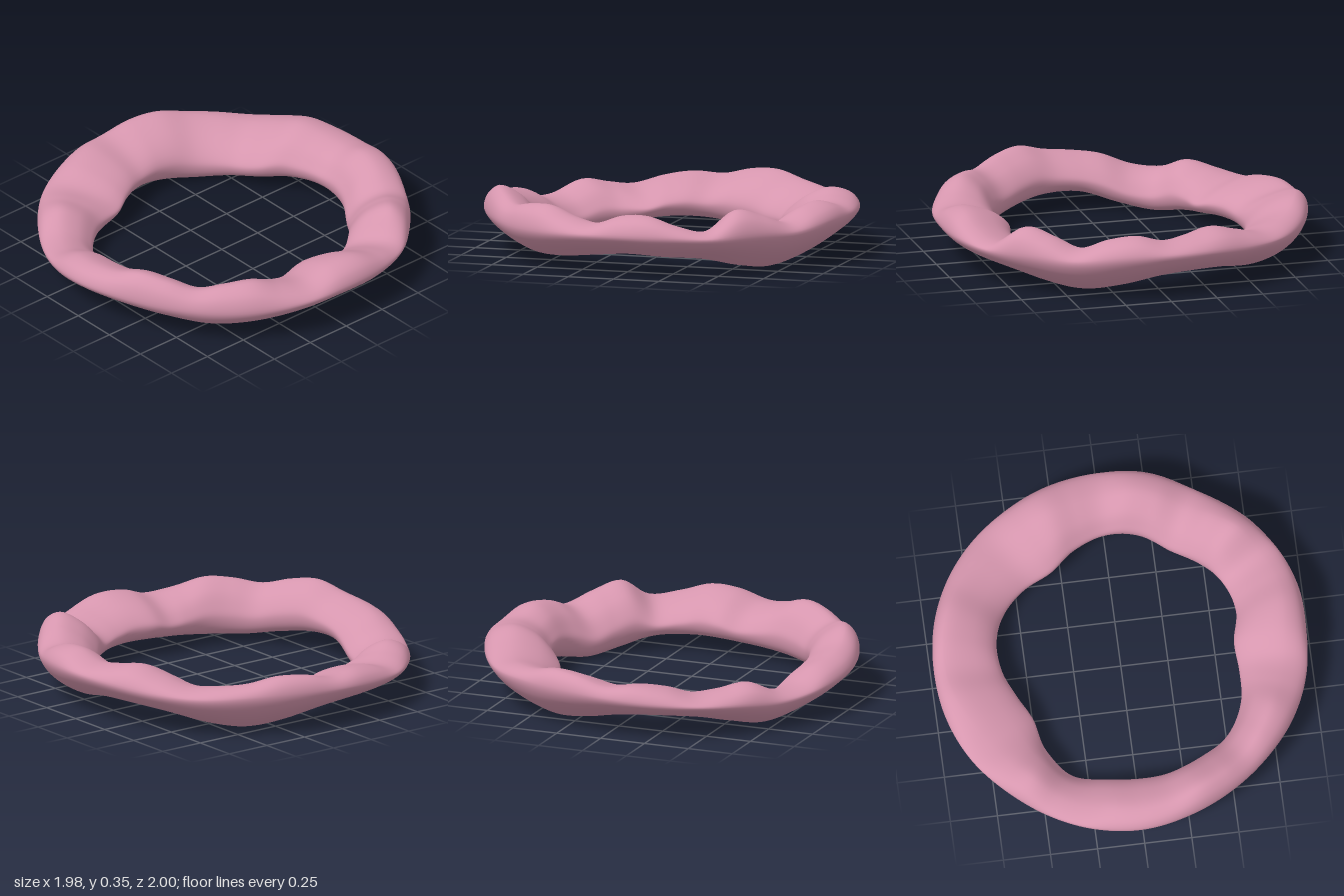
import * as THREE from 'three';

// Ring outline every 15 degrees, turning from +x towards +z
const OUTER = [0.985, 0.985, 0.98, 0.968, 0.972, 0.985, 0.997, 0.985, 0.97, 0.972, 0.985, 0.99,
  0.99, 0.995, 0.998, 1, 0.997, 0.997, 1, 1.005, 0.992, 0.995, 1.01, 1.005];
const INNER = [0.6, 0.63, 0.685, 0.715, 0.713, 0.716, 0.7, 0.682, 0.69, 0.645, 0.575, 0.59,
  0.63, 0.66, 0.665, 0.64, 0.6, 0.64, 0.682, 0.693, 0.668, 0.672, 0.679, 0.655];
// Heights of the outer rim and the belly every 15 degrees
const RIM = [0.22, 0.215, 0.21, 0.205, 0.215, 0.22, 0.205, 0.175, 0.155, 0.17, 0.18, 0.195,
  0.21, 0.22, 0.22, 0.21, 0.22, 0.24, 0.245, 0.24, 0.21, 0.22, 0.21, 0.22];
const BOTTOM = [0.09, 0.075, 0.055, 0.05, 0.08, 0.105, 0.1, 0.04, 0, 0.03, 0.06, 0.07,
  0.06, 0.025, 0, 0.02, 0.055, 0.08, 0.08, 0.04, 0.005, 0.03, 0.075, 0.085];
// Height of the bumpy crest every 10 degrees
const TOP = [0.315, 0.268, 0.29, 0.335, 0.325, 0.3, 0.335, 0.352, 0.31, 0.287, 0.262, 0.202,
  0.2, 0.26, 0.235, 0.215, 0.255, 0.275, 0.265, 0.3, 0.31, 0.277, 0.26, 0.252,
  0.29, 0.33, 0.31, 0.295, 0.33, 0.31, 0.258, 0.31, 0.345, 0.245, 0.27, 0.32];
// Where the crest lies between the inner (0) and outer (1) edge, every 30 degrees
const CREST = [0.68, 0.6, 0.7, 0.66, 0.6, 0.65, 0.82, 0.74, 0.62, 0.55, 0.6, 0.7];

// Smooth periodic interpolation, t in turns
function sample(list, t) {
  const n = list.length, f = t * n, i = Math.floor(f), u = f - i;
  const [a, b, c, d] = [-1, 0, 1, 2].map(k => list[(i + k + n) % n]);
  return b + 0.5 * u * (c - a + u * (2 * a - 5 * b + 4 * c - d + u * (3 * (b - c) + d - a)));
}

// Cross-section: thin outer rim, broad crest, inner wall, low inner belly
function section(t, count) {
  const [ro, ri, top, rim, low, crest] = [OUTER, INNER, TOP, RIM, BOTTOM, CREST].map(l => sample(l, t));
  const h = top - low, w = ro - ri;
  const points = [
    [1, rim],
    [crest + 0.74 * (1 - crest), rim + 0.66 * (top - rim)],
    [crest, top],
    [0.45 * crest, low + 0.83 * h],
    [0.08, low + 0.58 * h],
    [0, low + 0.38 * h],
    [0.06, low + 0.13 * h],
    [0.23, low],
    [0.6, low + 0.23 * (rim - low)],
    [0.9, low + 0.63 * (rim - low)],
  ].map(([u, y]) => new THREE.Vector3(ri + u * w, y, 0));
  const curve = new THREE.CatmullRomCurve3(points, true);
  return Array.from({ length: count }, (_, j) => curve.getPoint(j / count));
}

function ringGeometry(around, sides) {
  const positions = [], index = [];
  for (let i = 0; i < around; i++) {
    const angle = (i / around) * Math.PI * 2, next = (i + 1) % around;
    section(i / around, sides).forEach((p, j) => {
      positions.push(p.x * Math.cos(angle), p.y, p.x * Math.sin(angle));
      const k = (j + 1) % sides;
      const a = i * sides + j, b = i * sides + k, c = next * sides + j, d = next * sides + k;
      index.push(a, b, c, b, d, c);
    });
  }
  const geometry = new THREE.BufferGeometry();
  geometry.setAttribute('position', new THREE.Float32BufferAttribute(positions, 3));
  geometry.setIndex(index);
  geometry.computeVertexNormals();
  return geometry;
}

export function createModel() {
  const group = new THREE.Group();
  group.name = 'lumpyRing';
  const pink = new THREE.MeshStandardMaterial({ color: 0xd696ae });
  pink.name = 'dusty pink';
  const ring = new THREE.Mesh(ringGeometry(216, 50), pink);
  ring.name = 'ring';
  group.add(ring);
  return group;
}
